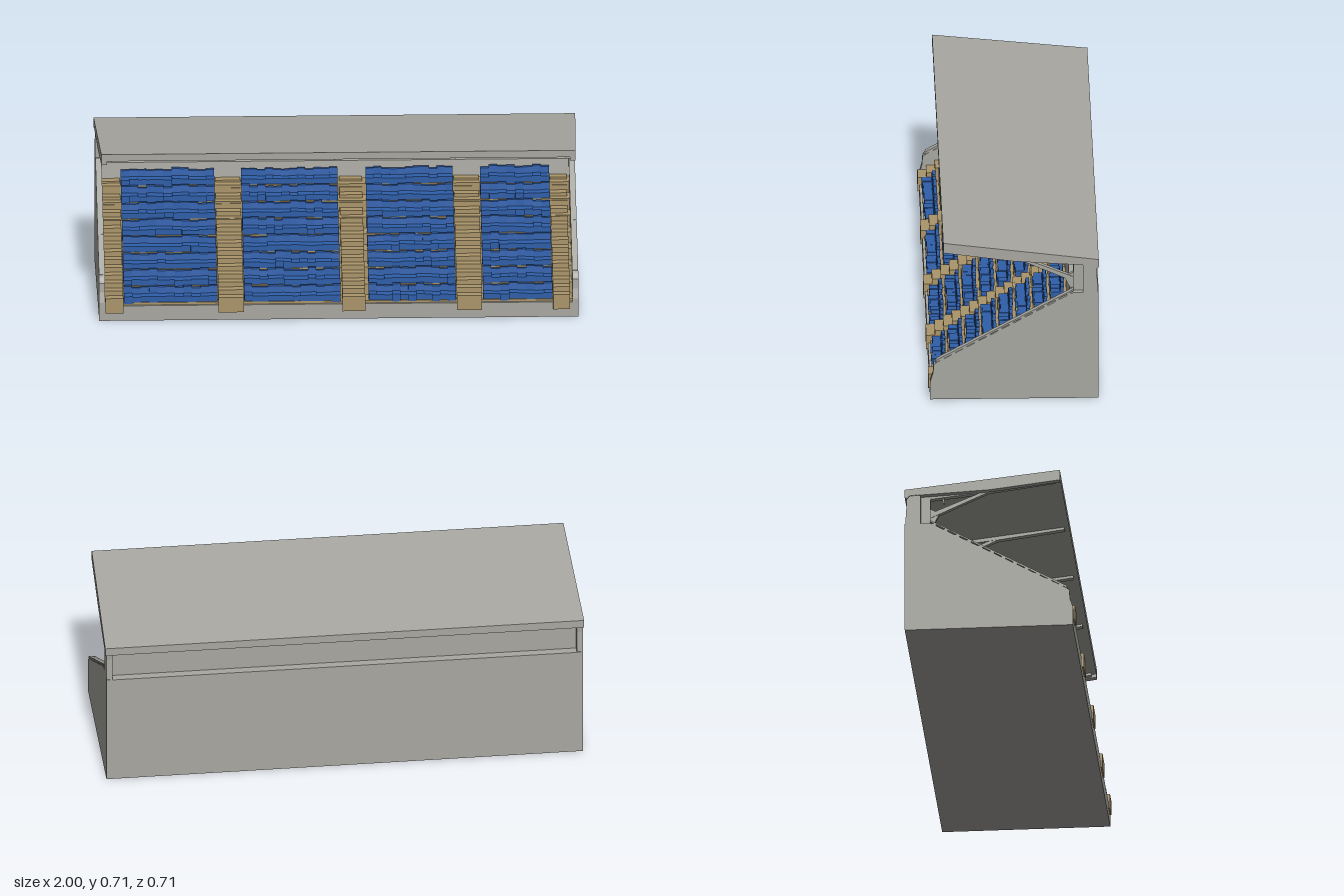
import * as THREE from 'three';
import { mergeGeometries } from 'three/addons/utils/BufferGeometryUtils.js';

const mat = (name, color) => {
  const m = new THREE.MeshStandardMaterial({ color });
  m.name = name;
  return m;
};

// Extrudes a [z, y] side profile from x0 to x1
function prism(pts, x0, x1) {
  const shape = new THREE.Shape(pts.map(([z, y]) => new THREE.Vector2(z, y)));
  const g = new THREE.ExtrudeGeometry(shape, { depth: x1 - x0, bevelEnabled: false });
  g.rotateY(-Math.PI / 2);
  return g.translate(x1, 0, 0);
}

// Box given by its limits, non-indexed so it merges with prisms
function block(x0, x1, y0, y1, z0, z1) {
  return new THREE.BoxGeometry(x1 - x0, y1 - y0, z1 - z0).toNonIndexed()
    .translate((x0 + x1) / 2, (y0 + y1) / 2, (z0 + z1) / 2);
}

export function createModel() {
  const group = new THREE.Group();
  const concrete = mat('concrete grey', 0xa8a7a1);
  const tan = mat('step tan', 0xab956a);
  const blue = mat('seat blue', 0x2f5ea9);
  const glass = mat('window blue', 0x5f7b96);

  const add = (name, geos, material) => {
    const mesh = new THREE.Mesh(mergeGeometries(geos), material);
    mesh.name = name;
    group.add(mesh);
  };

  let seed = 7;
  const rand = () => (seed = (seed * 16807) % 2147483647) / 2147483647;

  // Base with the front kerb, sloping core and rear ledge
  add('base', [prism([
    [0.345, 0], [0.345, 0.065], [0.27, 0.065], [-0.225, 0.4], [-0.235, 0.485],
    [-0.355, 0.485], [-0.355, 0],
  ], -0.975, 0.975)], concrete);

  // End walls and the low rails on their sloping tops
  const walls = [], rails = [];
  for (const s of [-1, 1]) {
    const a = s < 0 ? -0.995 : 0.97, b = a + 0.025;
    walls.push(prism([
      [0.345, 0], [0.345, 0.08], [0.333, 0.12], [0.33, 0.16], [0.317, 0.17],
      [-0.25, 0.487], [-0.355, 0.487], [-0.355, 0],
    ], a, b));
    rails.push(prism([[0.325, 0.168], [0.316, 0.182], [-0.25, 0.5], [-0.25, 0.494], [0.31, 0.176]], a, b));
    for (let i = 0; i < 12; i++) {
      const z = 0.3 - i * 0.048, y = 0.17 + (0.317 - z) * 0.559;
      rails.push(block(a, b, y - 0.01, y + 0.01, z - 0.013, z + 0.004));
    }
  }
  add('endWalls', walls, concrete);
  add('endRails', rails, concrete);

  // Stepped deck
  const rows = 8, rowDepth = 0.07, rise = 0.048;
  const rowZ = i => 0.335 - i * rowDepth;
  const rowY = i => 0.075 + i * rise;
  const deck = [[0.335, 0.03]];
  for (let i = 0; i < rows; i++) deck.push([rowZ(i), rowY(i)], [rowZ(i + 1), rowY(i)]);
  deck.push([-0.225, 0.36]);
  add('steppedDeck', [prism(deck, -0.97, 0.97)], tan);

  // Aisle stairs with two treads per row
  const aisles = [[-0.97, -0.895], [-0.5, -0.395], [0.015, 0.11], [0.49, 0.595], [0.89, 0.96]];
  const stair = [[0.352, 0.035]];
  for (let j = 0; j < 16; j++) {
    const z = 0.352 - j * 0.036, y = 0.1 + j * 0.0213;
    stair.push([z, y], [z - 0.036, y]);
  }
  stair.push([-0.224, 0.36]);
  add('aisleStairs', aisles.map(([a, b]) => prism(stair, a, b)), tan);

  // Rows of slightly uneven seats
  const seats = [];
  for (const [a, b] of [[-0.892, -0.503], [-0.392, 0.008], [0.125, 0.487], [0.6, 0.888]]) {
    const n = Math.round((b - a) / 0.034), w = (b - a) / n;
    for (let i = 0; i < rows; i++) {
      const z = rowZ(i), y = rowY(i);
      for (let k = 0; k < n; k++) {
        const x = a + k * w, d = rand() * 0.01, h = rand() * 0.012;
        seats.push(block(x, x + w, y - 0.004, y + 0.022 + h / 2, z - 0.045, z + 0.002 - d));
        const back = block(x, x + w, y, y + 0.046 + h, z - 0.052, z - 0.038);
        const p = back.attributes.position;
        for (let v = 0; v < p.count; v++) {
          if (p.getY(v) > y + 0.02) p.setZ(v, p.getZ(v) - 0.004 - d / 2);
        }
        back.computeVertexNormals();
        seats.push(back);
      }
    }
  }
  add('seats', seats, blue);

  // Rear upper wall with end posts
  add('rearWall', [block(-0.975, 0.975, 0.48, 0.625, -0.32, -0.29)], concrete);
  add('endPosts', [-0.9825, 0.9825].map(x => prism([
    [-0.29, 0.48], [-0.29, 0.625], [-0.35, 0.62], [-0.347, 0.58], [-0.353, 0.48],
  ], x - 0.0125, x + 0.0125)), concrete);

  // Roof with a dropped rear edge and side rims, a little narrower at the front
  const roof = [prism([
    [0.29, 0.715], [-0.355, 0.64], [-0.355, 0.605], [-0.345, 0.6], [-0.335, 0.612], [0.29, 0.685],
  ], -1, 1)];
  const rim = [[0.29, 0.69], [0.29, 0.67], [0, 0.632], [-0.3, 0.614], [-0.3, 0.625]];
  roof.push(prism(rim, -1, -0.975), prism(rim, 0.975, 1));
  for (const g of roof) {
    const p = g.attributes.position;
    for (let v = 0; v < p.count; v++) p.setX(v, p.getX(v) * (1 - 0.015 * (p.getZ(v) + 0.355) / 0.645));
    g.computeVertexNormals();
  }
  add('roof', roof, concrete);

  // Roof frames: column, beam, strut, gusset and lamp bracket
  const frames = [];
  for (const x of [-0.955, -0.48, -0.005, 0.475, 0.955]) {
    frames.push(
      block(x - 0.016, x + 0.016, 0.48, 0.622, -0.292, -0.25),
      prism([[0.27, 0.69], [0.27, 0.672], [0, 0.635], [-0.28, 0.605], [-0.28, 0.622]], x - 0.012, x + 0.012),
      prism([[0, 0.637], [-0.03, 0.637], [-0.25, 0.545], [-0.25, 0.523]], x - 0.01, x + 0.01),
      prism([[-0.212, 0.545], [-0.25, 0.565], [-0.25, 0.49], [-0.235, 0.497]], x - 0.008, x + 0.008),
      prism([[-0.197, 0.625], [-0.205, 0.625], [-0.197, 0.59], [-0.19, 0.59]], x - 0.006, x + 0.006),
    );
  }
  add('roofFrames', frames, concrete);

  // Window panes beside the frames
  const panes = [[-0.939, -0.88], [-0.5, -0.39], [-0.05, 0.06], [0.42, 0.6], [0.88, 0.939]];
  add('windowPanes', panes.map(([a, b]) => block(a, b, 0.545, 0.615, -0.291, -0.286)), glass);

  return group;
}
